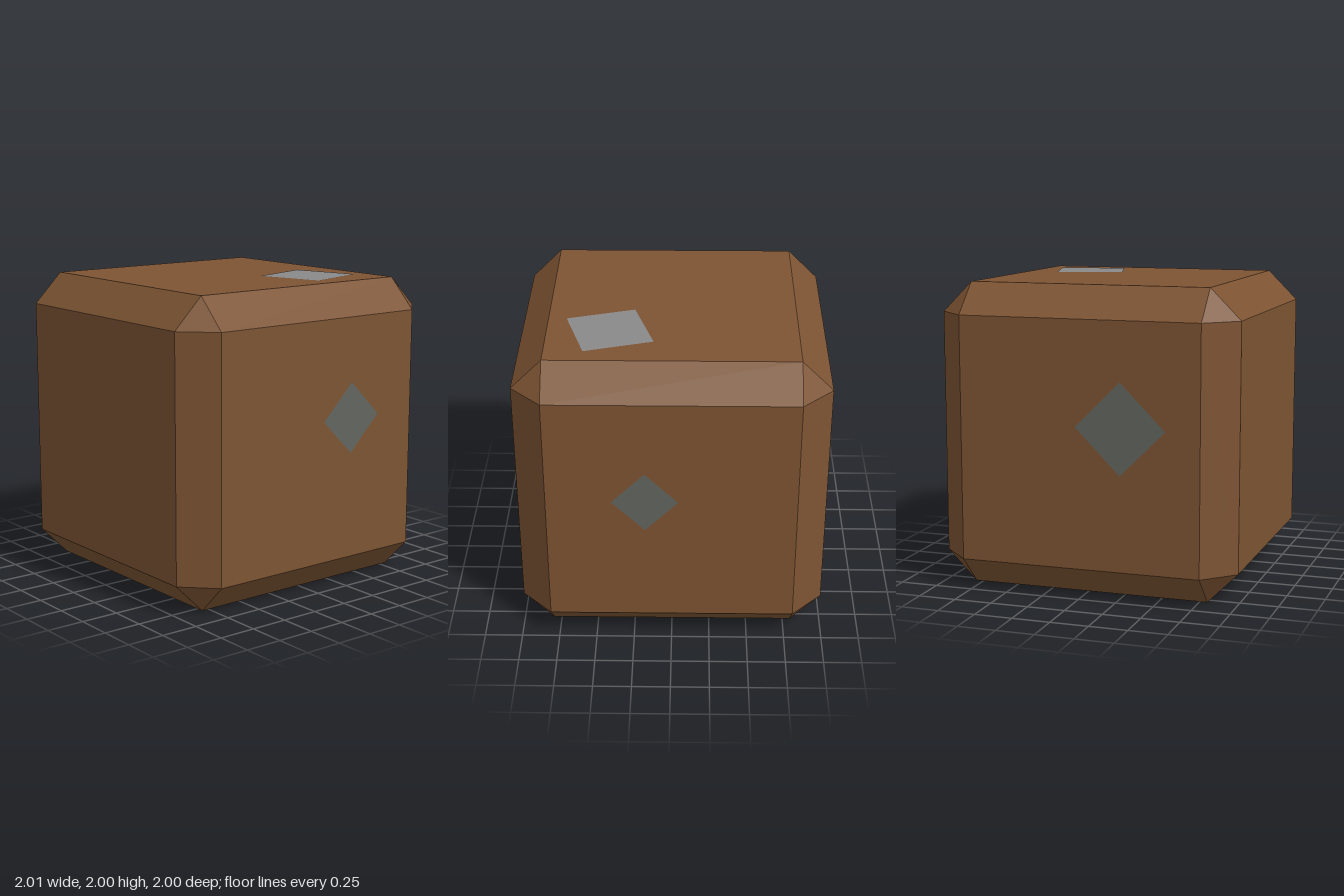
import * as THREE from 'three';
import { ConvexGeometry } from 'three/addons/geometries/ConvexGeometry.js';

const brown = new THREE.MeshStandardMaterial({ color: 0x7d5433 });
brown.name = 'brown';
const lightGrey = new THREE.MeshStandardMaterial({ color: 0x898989 });
lightGrey.name = 'light grey';
const darkGrey = new THREE.MeshStandardMaterial({ color: 0x63665f });
darkGrey.name = 'dark grey';

const HALF = 1;      // half the block's width
const INNER = 0.8;   // half the width of each flat face inside the chamfers
const LIFT = 0.003;  // patches sit just proud of the faces

// Cube with chamfered edges and cut corners: four points on each of six faces
function chamferedCube() {
  const points = [];
  for (const axis of ['x', 'y', 'z']) {
    for (const sx of [-1, 1]) for (const sy of [-1, 1]) for (const sz of [-1, 1]) {
      const p = new THREE.Vector3(sx, sy, sz).multiplyScalar(INNER);
      p[axis] = Math.sign(p[axis]) * HALF;
      points.push(p);
    }
  }
  return new ConvexGeometry(points);
}

export function createModel() {
  const model = new THREE.Group();
  model.name = 'block';

  const body = new THREE.Mesh(chamferedCube(), brown);
  body.name = 'body';
  body.position.y = HALF;
  model.add(body);

  // Square patch facing along `normal`, spun about it by `spin`
  function addPatch(name, material, size, position, normal, spin) {
    const patch = new THREE.Mesh(new THREE.PlaneGeometry(size, size), material);
    patch.name = name;
    patch.position.set(...position);
    const dir = new THREE.Vector3(...normal);
    patch.quaternion.setFromUnitVectors(new THREE.Vector3(0, 0, 1), dir);
    if (dir.z < 0) patch.rotation.set(0, Math.PI, 0);
    patch.rotateZ(spin);
    patch.position.addScaledVector(dir, LIFT);
    model.add(patch);
  }

  const diamond = Math.PI / 4;
  addPatch('topPatch', lightGrey, 0.455, [0.4, 2, -0.405], [0, 1, 0], 0.29);
  addPatch('rightPatch', darkGrey, 0.332, [1, 1.14, -0.265], [1, 0, 0], diamond);
  addPatch('leftPatch', darkGrey, 0.42, [-1, 1.12, 0.28], [-1, 0, 0], diamond);
  addPatch('backPatch', darkGrey, 0.301, [0.17, 1.09, -1], [0, 0, -1], diamond);

  return model;
}
